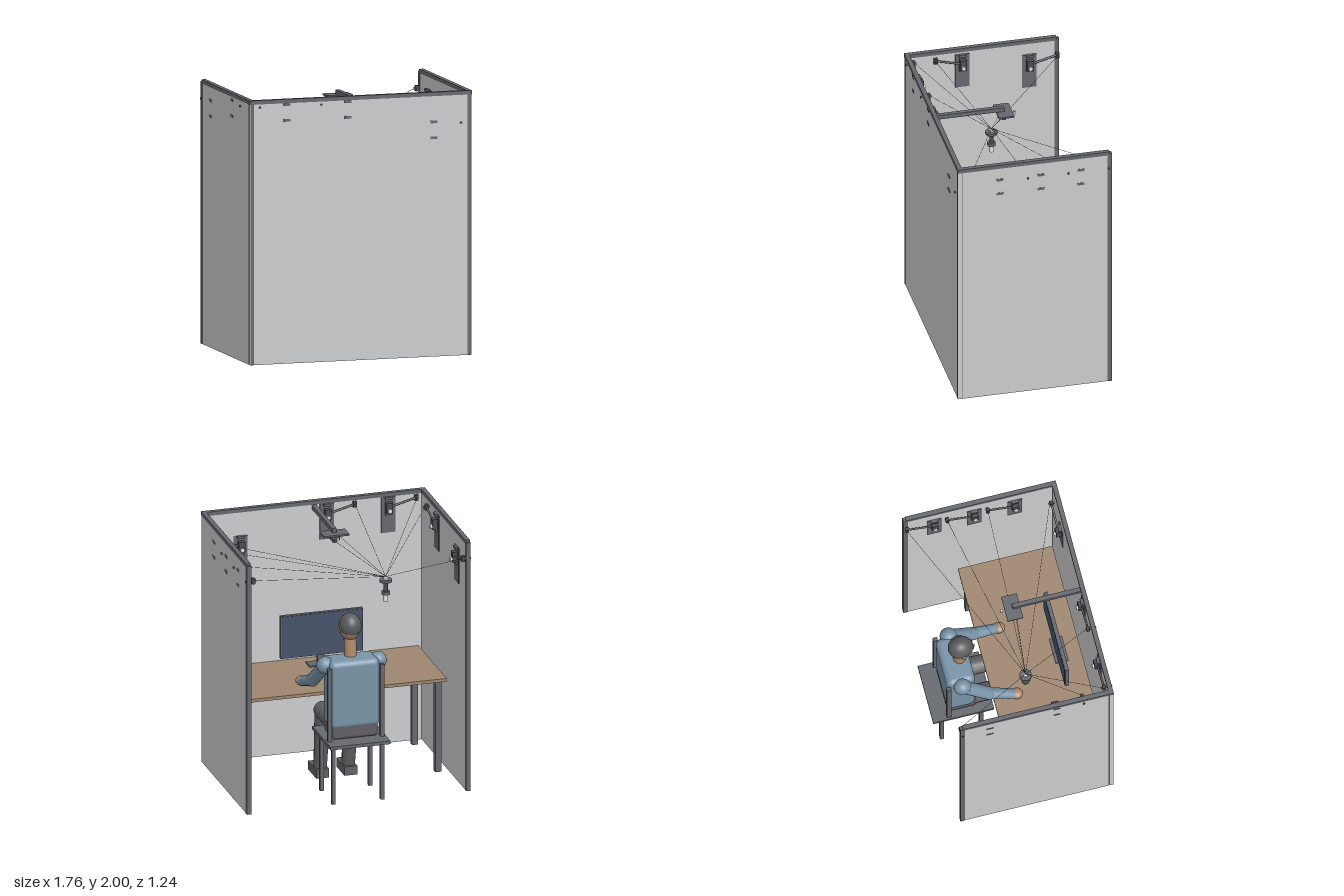
import * as THREE from 'three';
import { RoundedBoxGeometry } from 'three/addons/geometries/RoundedBoxGeometry.js';

const mat = (name, color) => Object.assign(new THREE.MeshStandardMaterial({ color }), { name });

export function createModel() {
  const M = {
    panel: mat('light panel grey', 0xcbcccd),
    frame: mat('frame grey', 0x65686e),
    dark: mat('dark metal', 0x4a4d52),
    wood: mat('desk wood', 0x9f8670),
    shirt: mat('shirt blue', 0x7893a8),
    skin: mat('skin', 0xb08a6a),
    trousers: mat('trouser grey', 0x626064),
    hair: mat('hair grey', 0x5a5c60),
    screen: mat('screen blue', 0x45536b),
    white: mat('white plastic', 0xe6e6e6),
  };
  const model = new THREE.Group();
  model.name = 'cableBooth';
  const group = (name, parent = model) => {
    const g = new THREE.Group();
    g.name = name;
    parent.add(g);
    return g;
  };
  const mesh = (parent, name, geo, m, x = 0, y = 0, z = 0) => {
    const o = new THREE.Mesh(geo, m);
    o.name = name;
    o.position.set(x, y, z);
    parent.add(o);
    return o;
  };
  // Box given by its minimum and maximum corners
  const box = (parent, name, m, x0, x1, y0, y1, z0, z1) =>
    mesh(parent, name, new THREE.BoxGeometry(x1 - x0, y1 - y0, z1 - z0), m,
      (x0 + x1) / 2, (y0 + y1) / 2, (z0 + z1) / 2);
  // Round bar between two points, optionally tapered or with rounded ends
  const bar = (parent, name, m, a, b, r0, r1 = r0, round = false, sides = 16) => {
    const A = new THREE.Vector3(...a), B = new THREE.Vector3(...b);
    const d = B.clone().sub(A), len = d.length();
    const geo = round ? new THREE.CapsuleGeometry(r0, len, 6, sides)
      : new THREE.CylinderGeometry(r1, r0, len, sides);
    const o = mesh(parent, name, geo, m);
    o.position.copy(A).add(B).multiplyScalar(0.5);
    o.quaternion.setFromUnitVectors(new THREE.Vector3(0, 1, 0), d.normalize());
    return o;
  };

  // Three-sided booth: panels, posts and top rails
  const booth = group('booth');
  box(booth, 'frontPanel', M.panel, -0.84, 0.84, 0, 1.97, 0.578, 0.608);
  box(booth, 'frontRail', M.frame, -0.875, 0.875, 1.97, 2, 0.575, 0.61);
  for (const s of [-1, 1]) {
    const side = (name, m, a, b, ...r) => box(booth, name, m, Math.min(s * a, s * b), Math.max(s * a, s * b), ...r);
    side('sidePanel', M.panel, 0.842, 0.872, 0, 1.97, -0.54, 0.574);
    side('cornerTrim', M.panel, 0.866, 0.872, 0, 1.97, 0.578, 0.608);
    side('cornerPost', M.frame, 0.84, 0.866, 0, 1.97, 0.574, 0.61);
    side('backPost', M.frame, 0.84, 0.875, 0, 1.985, -0.575, -0.54);
    side('sideRail', M.frame, 0.84, 0.875, 1.97, 2, -0.555, 0.575);
  }

  // Desk
  const desk = group('desk');
  box(desk, 'deskTop', M.wood, -0.815, 0.815, 0.73, 0.755, -0.16, 0.57);
  for (const x of [-0.76, 0.76]) for (const z of [-0.1, 0.5])
    box(desk, 'deskLeg', M.frame, x - 0.023, x + 0.023, 0, 0.73, z - 0.023, z + 0.023);

  // Monitor facing the seat
  const monitor = group('monitor');
  box(monitor, 'monitorBody', M.frame, -0.322, 0.322, 0.84, 1.18, 0.378, 0.405);
  box(monitor, 'screen', M.screen, -0.316, 0.316, 0.846, 1.174, 0.374, 0.378);
  box(monitor, 'monitorNeck', M.frame, -0.025, 0.025, 0.76, 0.95, 0.405, 0.425);
  box(monitor, 'monitorFoot', M.frame, -0.1, 0.1, 0.755, 0.767, 0.36, 0.46);

  // Overhead boom with plate and camera
  const boom = group('overheadBoom');
  box(boom, 'boomBeam', M.frame, -0.017, 0.017, 1.935, 1.968, 0.05, 0.578);
  box(boom, 'boomPlate', M.frame, -0.1, 0.1, 1.922, 1.935, -0.01, 0.11);
  box(boom, 'cameraBody', M.dark, -0.035, 0.035, 1.885, 1.922, 0.02, 0.08);
  bar(boom, 'cameraLens', M.dark, [0, 1.86, 0.05], [0, 1.89, 0.05], 0.018);
  box(boom, 'sensor', M.white, -0.01, 0.01, 1.9, 1.92, -0.042, -0.022);

  // Chair
  const chair = group('chair');
  box(chair, 'seat', M.frame, -0.235, 0.235, 0.46, 0.485, -0.62, -0.15);
  for (const x of [-0.19, 0.19]) {
    for (const z of [-0.545, -0.24])
      box(chair, 'chairLeg', M.frame, x - 0.014, x + 0.014, 0, 0.46, z - 0.014, z + 0.014);
    const c = Math.sign(x) * 0.205;
    box(chair, 'backPost', M.frame, c - 0.015, c + 0.015, 0.485, 1.06, -0.51, -0.475);
  }

  // Seated person
  const person = group('person');
  mesh(person, 'torso', new RoundedBoxGeometry(0.39, 0.54, 0.22, 3, 0.045), M.shirt, 0, 0.835, -0.39);
  mesh(person, 'pelvis', new RoundedBoxGeometry(0.36, 0.14, 0.23, 3, 0.03), M.trousers, 0, 0.555, -0.38);
  bar(person, 'neck', M.skin, [0, 1.08, -0.36], [0, 1.26, -0.345], 0.047);
  const head = group('head', person);
  head.position.set(0, 1.325, -0.342);
  mesh(head, 'face', new THREE.SphereGeometry(1, 28, 20), M.skin).scale.set(0.078, 0.104, 0.09);
  const hair = mesh(head, 'hair', new THREE.SphereGeometry(1, 28, 14, 0, Math.PI * 2, 0, Math.PI * 0.52), M.hair, 0, 0.006, -0.006);
  hair.material.side = THREE.DoubleSide;
  hair.scale.set(0.085, 0.106, 0.096);
  hair.rotation.x = -0.38;
  const nose = mesh(head, 'nose', new THREE.ConeGeometry(0.015, 0.035, 10), M.skin, 0, -0.015, 0.094);
  nose.rotation.x = 0.5;
  for (const s of [-1, 1]) {
    mesh(head, 'ear', new THREE.SphereGeometry(1, 12, 8), M.skin, s * 0.081, -0.01, 0).scale.set(0.012, 0.026, 0.017);
    mesh(head, 'eye', new THREE.SphereGeometry(0.009, 10, 8), M.dark, s * 0.03, 0.012, 0.08);
    const elbow = [s * 0.245, 0.87, -0.19], wrist = [s * 0.268, 0.8, -0.01];
    mesh(person, 'shoulder', new THREE.SphereGeometry(0.066, 20, 14), M.shirt, s * 0.207, 1.055, -0.39);
    bar(person, 'upperArm', M.shirt, [s * 0.212, 1.04, -0.375], elbow, 0.05, 0.05, true);
    bar(person, 'forearm', M.shirt, elbow, wrist, 0.046, 0.038);
    mesh(person, 'hand', new THREE.SphereGeometry(1, 18, 12), M.skin, s * 0.27, 0.795, 0.015).scale.set(0.044, 0.036, 0.048);
    const knee = [s * 0.11, 0.55, -0.01];
    bar(person, 'thigh', M.trousers, [s * 0.11, 0.56, -0.36], knee, 0.073, 0.068);
    mesh(person, 'knee', new THREE.SphereGeometry(0.069, 18, 14), M.trousers, ...knee);
    bar(person, 'shin', M.trousers, knee, [s * 0.11, 0.06, 0.06], 0.062, 0.05);
    box(person, 'shoe', M.trousers, s * 0.11 - 0.05, s * 0.11 + 0.05, 0.005, 0.075, -0.01, 0.2);
  }

  // Hanging pulley hub
  const hub = group('cableHub');
  const hx = -0.4, hz = 0.05, hubPoint = [hx, 1.54, hz];
  for (const [name, m, y0, y1, r] of [
    ['hubDisc', M.frame, 1.5, 1.52, 0.047], ['hubCap', M.white, 1.52, 1.535, 0.02],
    ['hubStem', M.dark, 1.42, 1.5, 0.016], ['hubCollar', M.frame, 1.4, 1.425, 0.032],
    ['hubTip', M.white, 1.345, 1.4, 0.018],
  ]) bar(hub, name, m, [hx, y0, hz], [hx, y1, hz], r, r, false, 20);

  // Wall winches: [wall, position along wall, tab height, cable exit along wall]
  const walls = {
    front: { turn: Math.PI, at: (u, y, d) => [u, y, 0.578 - d], sign: -1 },
    left: { turn: -Math.PI / 2, at: (u, y, d) => [0.842 - d, y, u], sign: 1 },
    right: { turn: Math.PI / 2, at: (u, y, d) => [-0.842 + d, y, u], sign: -1 },
  };
  const winches = [
    ['front', -0.58, 1.96, -0.795], ['front', -0.1, 1.96, -0.312], ['front', 0.575, 1.775, 0.79],
    ['left', 0.285, 1.87, 0.072], ['left', -0.028, 1.87, -0.24], ['left', -0.338, 1.87, -0.552],
    ['right', 0.17, 1.945, 0.38], ['right', -0.345, 1.87, -0.557],
  ];
  const cables = group('cables');
  for (const [wallName, u, tabY, exit] of winches) {
    const wall = walls[wallName], g = group('winch');
    g.position.set(...wall.at(u, tabY, 0));
    g.rotation.y = wall.turn;
    const e = (exit - u) * wall.sign, drop = -0.014;
    box(g, 'backPlate', M.frame, -0.055, 0.055, -0.275, 0.008, 0, 0.007);
    for (const y of [0, -0.12]) {
      box(g, 'clamp', M.frame, -0.027, 0.027, y - 0.01, y + 0.01, -0.033, 0.025);
    }
    box(g, 'motor', M.dark, -0.025, 0.025, -0.11, -0.03, 0.007, 0.045);
    bar(g, 'spool', M.white, [0, -0.09, 0.045], [0, -0.09, 0.06], 0.016);
    bar(g, 'arm', M.frame, [0, -0.07, 0.022], [e, drop, 0.022], 0.008, 0.008, false, 8);
    bar(g, 'bolt', M.dark, [e, drop, -0.04], [e, drop, 0.045], 0.008, 0.008, false, 12);
    box(g, 'pulleyBlock', M.dark, e - 0.014, e + 0.014, drop - 0.022, drop + 0.022, 0.01, 0.035);
    bar(cables, 'cable', M.dark, wall.at(exit, tabY + drop, 0.035), hubPoint, 0.0014, 0.0014, false, 5);
  }
  for (const x of [-0.04, 0.04])
    bar(cables, 'boomCable', M.dark, [x, 1.9, 0.07], hubPoint, 0.0014, 0.0014, false, 5);

  return model;
}
